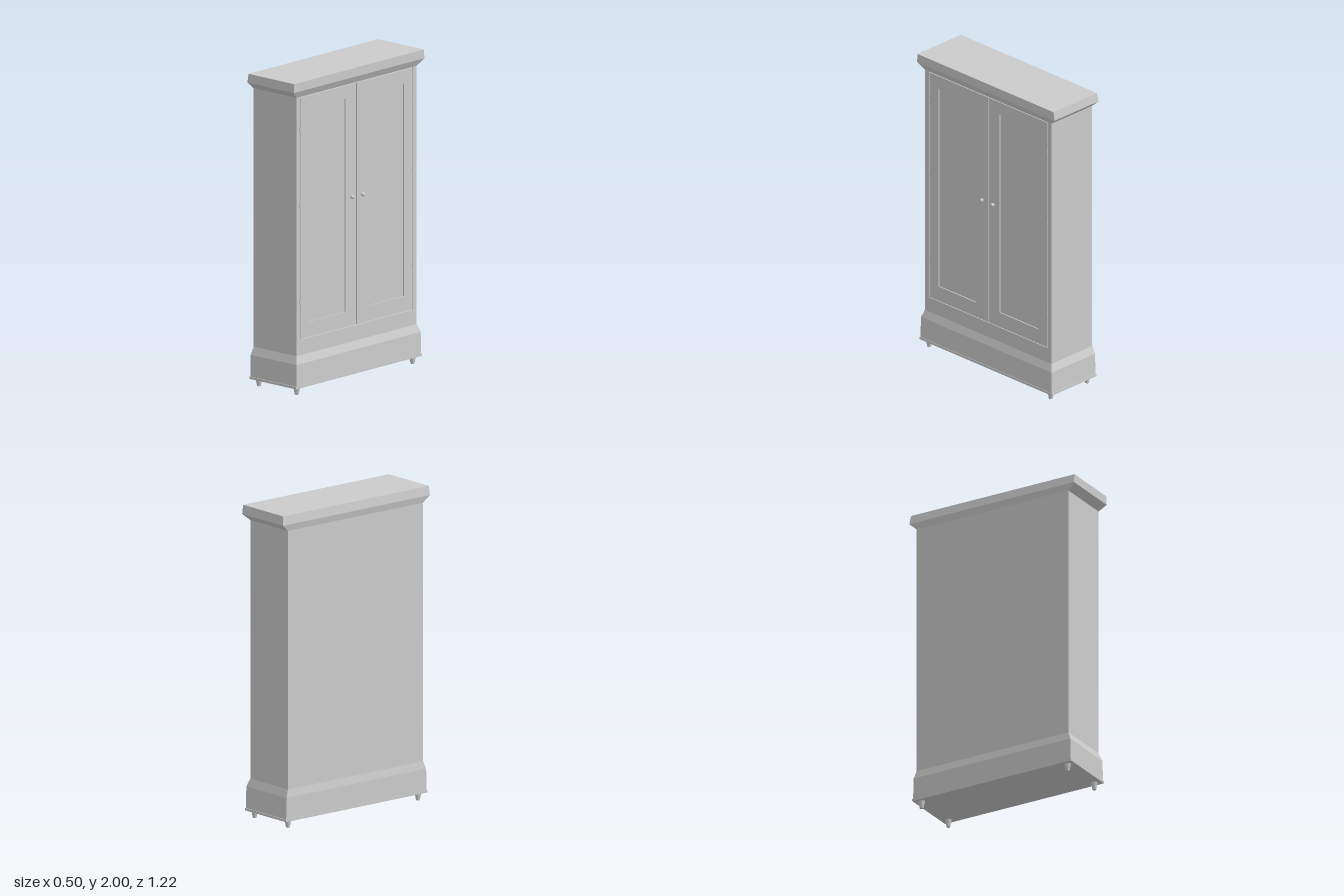
import * as THREE from 'three';

const material = new THREE.MeshStandardMaterial({ color: 0xcccccc });
const flat = new THREE.MeshStandardMaterial({ color: 0xcccccc, flatShading: true });

// Cabinet measurements: the width runs along x and the doors face +z
const HALF = 0.549, BACK = -0.188, FRONT = 0.171, CORE = 0.15;
const BODY_BOTTOM = 0.22, BODY_TOP = 1.905;
const DOOR = { x0: 0.003, x1: 0.512, y0: 0.352, y1: 1.894 };
const PANEL = { x0: 0.1, x1: 0.432, y0: 0.45, y1: 1.81 };

function add(parent, name, geometry, x = 0, y = 0, z = 0, mat = material) {
  const mesh = new THREE.Mesh(geometry, mat);
  mesh.name = name;
  mesh.position.set(x, y, z);
  parent.add(mesh);
  return mesh;
}

// Closed moulding from rectangular sections [y, left, right, back, front], bottom to top
function moulding(sections) {
  const rings = sections.map(([y, l, r, b, f]) => [[l, y, f], [r, y, f], [r, y, b], [l, y, b]]);
  const positions = [];
  const quad = (a, b, c, d) => positions.push(...a, ...b, ...c, ...a, ...c, ...d);
  for (let i = 0; i < rings.length - 1; i++) {
    for (let k = 0; k < 4; k++) {
      const n = (k + 1) % 4;
      quad(rings[i][k], rings[i][n], rings[i + 1][n], rings[i + 1][k]);
    }
  }
  const [p, q, r, s] = rings[0];
  quad(s, r, q, p);
  quad(...rings[rings.length - 1]);
  const geometry = new THREE.BufferGeometry();
  geometry.setAttribute('position', new THREE.Float32BufferAttribute(positions, 3));
  geometry.computeVertexNormals();
  return geometry;
}

function rectangle(PathType, x0, y0, x1, y1) {
  const path = new PathType();
  path.moveTo(x0, y0);
  path.lineTo(x1, y0);
  path.lineTo(x1, y1);
  path.lineTo(x0, y1);
  path.closePath();
  return path;
}

// Flat board with a rectangular opening
function frame(outer, inner, depth) {
  const shape = rectangle(THREE.Shape, ...outer);
  shape.holes.push(rectangle(THREE.Path, ...inner));
  return new THREE.ExtrudeGeometry(shape, { depth, bevelEnabled: false });
}

function createDoor(side) {
  const door = new THREE.Group();
  door.name = side > 0 ? 'leftDoor' : 'rightDoor';
  const span = (b) => (side > 0 ? [b.x0, b.y0, b.x1, b.y1] : [-b.x1, b.y0, -b.x0, b.y1]);

  // Frame around a slightly sunken panel
  add(door, 'doorFrame', frame(span(DOOR), span(PANEL), FRONT - CORE), 0, 0, CORE);
  add(door, 'doorPanel',
    new THREE.BoxGeometry(PANEL.x1 - PANEL.x0, PANEL.y1 - PANEL.y0, 0.014),
    side * (PANEL.x0 + PANEL.x1) / 2, (PANEL.y0 + PANEL.y1) / 2, CORE + 0.007);

  // Round knob on a short stem
  const stem = add(door, 'knobStem', new THREE.CylinderGeometry(0.006, 0.008, 0.014, 12),
    side * 0.047, 1.175, FRONT + 0.004);
  stem.rotation.x = Math.PI / 2;
  add(door, 'knob', new THREE.SphereGeometry(0.013, 16, 12), side * 0.047, 1.175, FRONT + 0.01);

  // Hinge barrels on the outer edge
  for (const y of [0.59, 1.21, 1.69]) {
    add(door, 'hinge', new THREE.CylinderGeometry(0.004, 0.004, 0.035, 10), side * 0.514, y, FRONT);
  }
  return door;
}

export function createModel() {
  const model = new THREE.Group();
  model.name = 'wardrobe';
  const cabinet = new THREE.Group();
  cabinet.name = 'cabinet';
  model.add(cabinet);

  // Body box with the fixed front frame around the doors
  add(cabinet, 'body', new THREE.BoxGeometry(HALF * 2, BODY_TOP - BODY_BOTTOM, CORE - BACK),
    0, (BODY_TOP + BODY_BOTTOM) / 2, (CORE + BACK) / 2);
  add(cabinet, 'frontFrame',
    frame([-HALF, BODY_BOTTOM, HALF, BODY_TOP], [-0.515, 0.348, 0.515, 1.898], FRONT - CORE), 0, 0, CORE);

  cabinet.add(createDoor(1), createDoor(-1));

  // Cornice flares out from the body, plinth tapers in to it
  add(cabinet, 'cornice', moulding([
    [1.9, -HALF, HALF, BACK, FRONT],
    [1.943, -0.595, 0.597, -0.198, 0.193],
    [2, -0.594, 0.589, -0.19, 0.193],
  ]));
  add(cabinet, 'plinth', moulding([
    [0.06, -0.57, 0.57, -0.196, 0.19],
    [0.2, -0.567, 0.567, -0.196, 0.188],
    [0.25, -HALF, HALF, BACK, FRONT],
  ]));
  add(cabinet, 'baseBoard', moulding([
    [0.047, -0.575, 0.575, -0.199, 0.193],
    [0.062, -0.575, 0.575, -0.199, 0.193],
  ]));

  // Four tapered feet
  for (const x of [-0.528, 0.528]) {
    for (const z of [-0.163, 0.155]) {
      add(cabinet, 'foot', new THREE.CylinderGeometry(0.022, 0.012, 0.05, 10), x, 0.025, z, flat);
    }
  }

  // The whole cabinet stands turned, doors towards +x
  cabinet.rotation.y = 1.474;
  return model;
}
